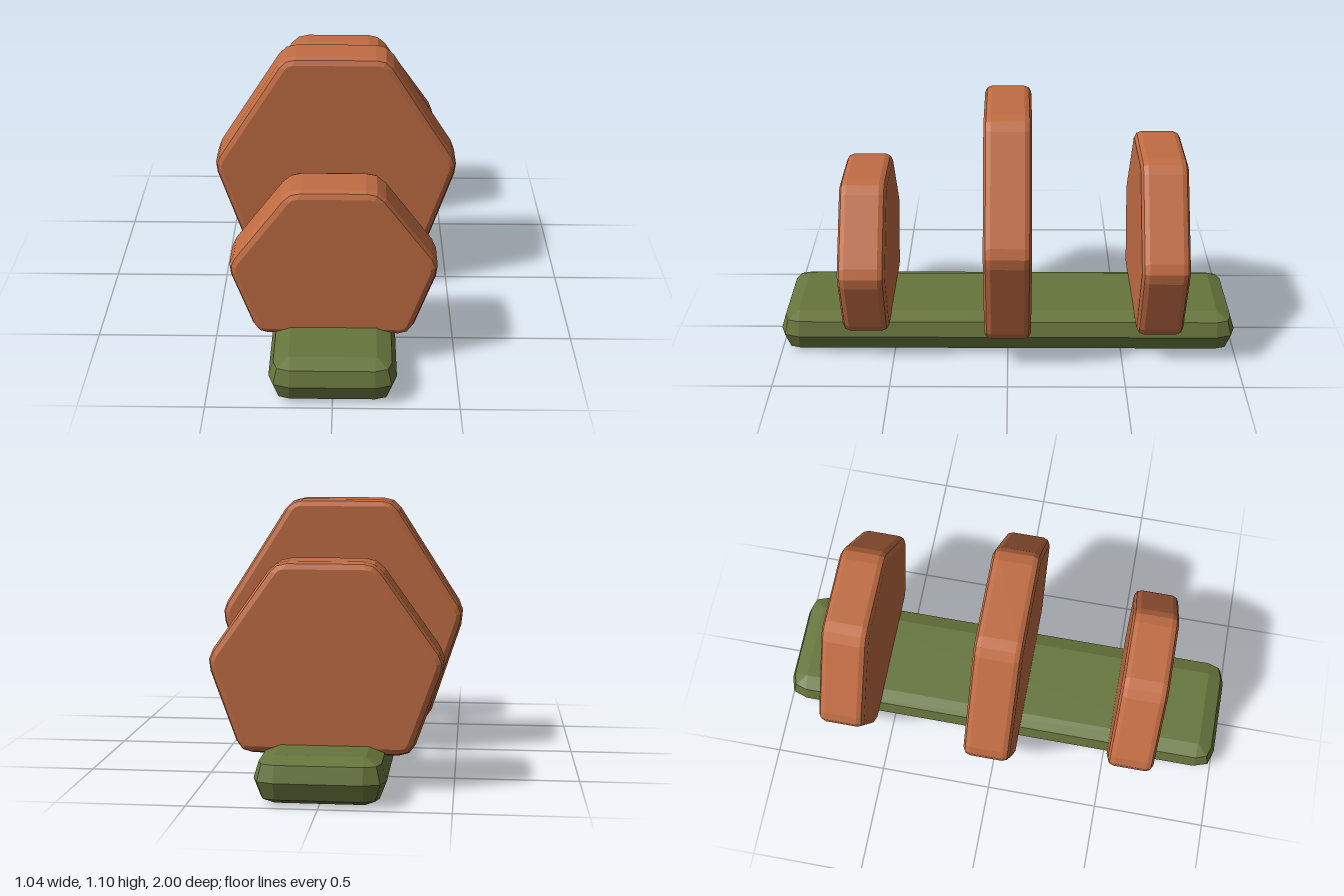
import * as THREE from 'three';

// Insets a convex counter-clockwise outline and rounds every corner to three points.
function outline(corners, inset, round) {
  const n = corners.length;
  const pts = corners.map(([x, y]) => new THREE.Vector2(x, y));
  const moved = pts.map((p, i) => {
    const a = p.clone().sub(pts[(i + n - 1) % n]).normalize();
    const b = pts[(i + 1) % n].clone().sub(p).normalize();
    const na = new THREE.Vector2(-a.y, a.x);
    const nb = new THREE.Vector2(-b.y, b.x);
    const k = inset / (1 + na.dot(nb));
    return p.clone().add(na.add(nb).multiplyScalar(k));
  });
  const r = Math.max(round - inset, 0.005);
  return moved.flatMap((p, i) => {
    const toPrev = moved[(i + n - 1) % n].clone().sub(p).setLength(r).add(p);
    const toNext = moved[(i + 1) % n].clone().sub(p).setLength(r).add(p);
    const mid = toPrev.clone().add(toNext).multiplyScalar(0.25).addScaledVector(p, 0.5);
    return [toPrev, mid, toNext];
  });
}

// Stacks inset outlines along z and closes both ends; faceted normals.
function bevelledSlab(corners, round, rings) {
  const pos = [];
  const idx = [];
  const m = corners.length * 3;
  for (const [inset, z] of rings) {
    for (const p of outline(corners, inset, round)) pos.push(p.x, p.y, z);
  }
  for (let k = 0; k < rings.length - 1; k++) {
    for (let i = 0; i < m; i++) {
      const a = k * m + i;
      const b = k * m + (i + 1) % m;
      idx.push(a, b, b + m, a, b + m, a + m);
    }
  }
  const top = (rings.length - 1) * m;
  for (let i = 1; i < m - 1; i++) {
    idx.push(0, i + 1, i);
    idx.push(top, top + i, top + i + 1);
  }
  const geo = new THREE.BufferGeometry();
  geo.setAttribute('position', new THREE.Float32BufferAttribute(pos, 3));
  geo.setIndex(idx);
  const flat = geo.toNonIndexed();
  flat.computeVertexNormals();
  return flat;
}

export function createModel() {
  const model = new THREE.Group();
  const green = new THREE.MeshStandardMaterial({ color: 0x66753c });
  green.name = 'moss green';
  const clay = new THREE.MeshStandardMaterial({ color: 0xc06c43 });
  clay.name = 'terracotta';

  // Long bar lying along z
  const barGeo = bevelledSlab(
    [[-0.253, -1], [0.253, -1], [0.253, 1], [-0.253, 1]],
    0.085,
    [[0.08, 0], [0.027, 0.025], [0, 0.095], [0.02, 0.16], [0.08, 0.185]]
  );
  barGeo.rotateX(-Math.PI / 2);
  const bar = new THREE.Mesh(barGeo, green);
  bar.name = 'baseBar';
  model.add(bar);

  // Upright six-sided plates: half widths at bottom, middle and top
  const bottom = 0.145;
  const plates = [
    { name: 'frontPlate', z: 0.612, low: 0.31, mid: 0.425, high: 0.175, midY: 0.465, top: 0.797 },
    { name: 'middlePlate', z: 0, low: 0.375, mid: 0.53, high: 0.218, midY: 0.615, top: 1.103 },
    { name: 'backPlate', z: -0.655, low: 0.335, mid: 0.468, high: 0.193, midY: 0.515, top: 0.9 },
  ];
  for (const { name, z, low, mid, high, midY, top } of plates) {
    const corners = [
      [-low, bottom], [low, bottom], [mid, midY],
      [high, top], [-high, top], [-mid, midY],
    ];
    const geo = bevelledSlab(corners, 0.05, [
      [0.03, -0.1], [0.009, -0.09], [0, -0.07],
      [0, 0.07], [0.009, 0.09], [0.03, 0.1],
    ]);
    const plate = new THREE.Mesh(geo, clay);
    plate.name = name;
    plate.position.z = z;
    model.add(plate);
  }
  return model;
}
